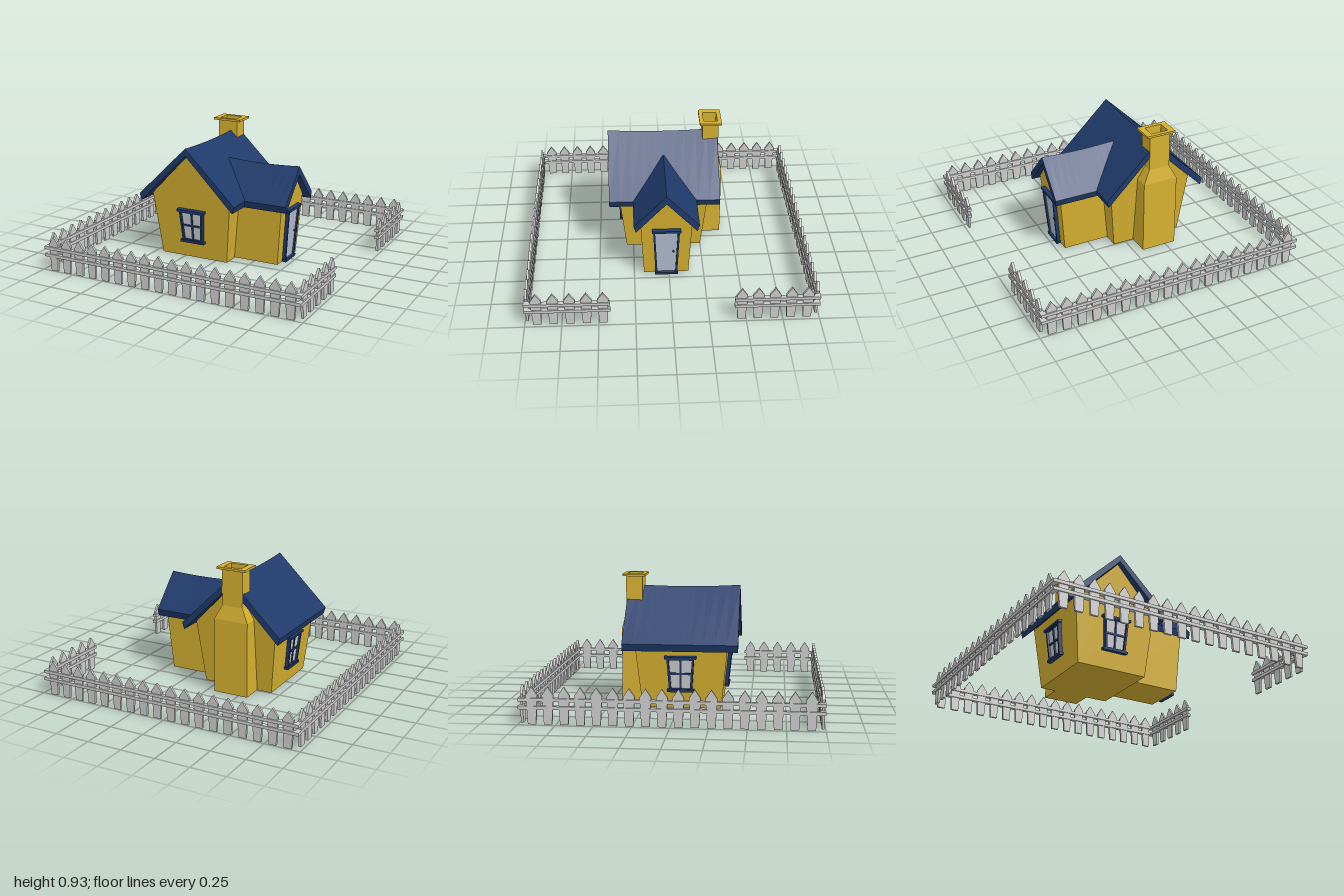
import * as THREE from 'three';

const mat = (color) => new THREE.MeshStandardMaterial({ color });
const yellow = mat(0xd4b030), navy = mat(0x1f3a6b), grey = mat(0xcccccc), pale = mat(0xb4bccf);

function add(parent, name, geo, material, x = 0, y = 0, z = 0) {
  const m = new THREE.Mesh(geo, material);
  m.name = name;
  m.position.set(x, y, z);
  parent.add(m);
  return m;
}

function poly(points) {
  return new THREE.Shape(points.map(([x, y]) => new THREE.Vector2(x, y)));
}

// Extrusion centred on z
function slab(shape, depth, steps = 1) {
  return new THREE.ExtrudeGeometry(shape, { depth, steps, bevelEnabled: false }).translate(0, 0, -depth / 2);
}

// Move every vertex by a rule
function warp(geo, rule) {
  const p = geo.attributes.position, v = new THREE.Vector3();
  for (let i = 0; i < p.count; i++) {
    rule(v.fromBufferAttribute(p, i));
    p.setXYZ(i, v.x, v.y, v.z);
  }
  geo.computeVertexNormals();
  return geo;
}

const box = (w, h, d) => new THREE.BoxGeometry(w, h, d);

// Gabled body whose walls lean outwards towards the top
function walls(base, top, eave, apex, depth, lean) {
  const shape = poly([[-base, 0], [base, 0], [top, eave], [0, apex], [-top, eave]]);
  return warp(slab(shape, depth), (v) => { v.z += Math.sign(v.z) * lean * v.y; });
}

// Gable roof with a sagging ridge
function roof(half, eave, apex, thick, depth, sag) {
  const shape = poly([[0, apex], [-half, eave], [-half + 0.015, eave - 0.05], [0, apex - thick],
    [half - 0.015, eave - 0.05], [half, eave]]);
  return warp(slab(shape, depth, 10), (v) => {
    const t = v.z / (depth / 2), k = Math.max(0, (v.y - eave) / (apex - eave));
    v.y -= sag * (1 - t * t) * k;
  });
}

// Trapezoid, wider at the top
const trapezoid = (b, t, y0, y1) => [[-b, y0], [b, y0], [t, y1], [-t, y1]];

function frame(b, t, y0, y1, rim, depth) {
  const s = poly(trapezoid(b, t, y0, y1));
  s.holes.push(poly(trapezoid(b - rim, t - rim, y0 + rim, y1 - rim).reverse()));
  return slab(s, depth);
}

function rectRing(w, d, iw, id, h) {
  const r = (a, b) => [[-a / 2, -b / 2], [a / 2, -b / 2], [a / 2, b / 2], [-a / 2, b / 2]];
  const s = poly(r(w, d));
  s.holes.push(poly(r(iw, id).reverse()));
  return slab(s, h).rotateX(-Math.PI / 2);
}

// Stand a group on a leaning wall
function onWall(g, name, x, y, z, turn, lean) {
  g.name = name;
  g.position.set(x, y, z);
  g.rotation.set(Math.atan(lean), turn, 0, 'YXZ');
  return g;
}

function makeWindow() {
  const g = new THREE.Group();
  add(g, 'panes', slab(poly(trapezoid(0.078, 0.09, -0.11, 0.11)), 0.012), grey, 0, 0, 0.004);
  add(g, 'windowFrame', frame(0.08, 0.096, -0.12, 0.115, 0.015, 0.035), navy, 0, 0, 0.008);
  add(g, 'mullion', box(0.014, 0.22, 0.024), navy, 0, 0, 0.006);
  add(g, 'crossBar', box(0.165, 0.014, 0.024), navy, 0, 0, 0.006);
  add(g, 'lintel', box(0.22, 0.017, 0.045), navy, 0, 0.117, 0.01);
  add(g, 'sill', box(0.19, 0.017, 0.045), navy, 0, -0.12, 0.01);
  return g;
}

function makeDoor() {
  const g = new THREE.Group();
  add(g, 'doorPanel', slab(poly(trapezoid(0.066, 0.08, 0.02, 0.39)), 0.014), pale, 0, 0, 0.004);
  add(g, 'doorFrame', frame(0.078, 0.094, 0.008, 0.4, 0.014, 0.036), navy, 0, 0, 0.006);
  add(g, 'doorLintel', box(0.205, 0.018, 0.045), navy, 0, 0.4, 0.008);
  add(g, 'doorStep', box(0.165, 0.018, 0.045), navy, 0, 0.017, 0.008);
  add(g, 'doorKnob', new THREE.SphereGeometry(0.008, 12, 8), navy, 0.05, 0.215, 0.017);
  return g;
}

function makeChimney() {
  const g = new THREE.Group();
  g.name = 'chimney';
  g.position.set(-0.193, 0, -0.3275);
  add(g, 'chimneyBase', box(0.26, 0.545, 0.165), yellow, 0, 0.2775, 0);
  const shoulder = warp(box(0.26, 0.1, 0.165), (v) => {
    if (v.y > 0) { v.x *= 0.6; v.z *= 0.7; }
  });
  add(g, 'chimneyShoulder', shoulder, yellow, 0, 0.6, 0);
  add(g, 'chimneyStack', rectRing(0.156, 0.116, 0.13, 0.1, 0.265), yellow, 0, 0.7825, 0);
  add(g, 'chimneyCap', rectRing(0.22, 0.16, 0.13, 0.1, 0.016), yellow, 0, 0.92, 0);
  return g;
}

// Picket fence run along local x, centred on the given range
function makeFence(name, from, to, first, count, step) {
  const g = new THREE.Group();
  g.name = name;
  const picket = slab(poly([[-0.027, 0], [0.027, 0], [0.038, 0.195], [0, 0.252], [-0.038, 0.195]]), 0.017);
  for (let i = 0; i < count; i++) add(g, 'picket', picket, grey, first + i * step, 0, 0);
  for (const y of [0.112, 0.165]) {
    add(g, 'rail', box(to - from, 0.022, 0.032), grey, (from + to) / 2, y, 0);
  }
  return g;
}

export function createModel() {
  const model = new THREE.Group();
  model.name = 'cottage';

  // Main house, ridge running front to back
  add(model, 'mainWalls', walls(0.265, 0.315, 0.465, 0.782, 0.55, 0.107), yellow, -0.17, 0.004, 0.025);
  add(model, 'mainRoof', roof(0.385, 0.47, 0.845, 0.053, 0.8, 0.013), navy, -0.17, 0, 0.02);

  // Entrance wing, ridge running sideways
  add(model, 'wingWalls', walls(0.16, 0.182, 0.45, 0.64, 0.44, 0.083), yellow, 0.22, 0.008, 0.02).rotation.y = Math.PI / 2;
  add(model, 'wingRoof', roof(0.23, 0.47, 0.71, 0.06, 0.56, 0.01), navy, 0.25, 0, 0.02).rotation.y = Math.PI / 2;

  model.add(makeChimney());
  model.add(onWall(makeWindow(), 'frontWindow', -0.165, 0.255, 0.328, 0, 0.107));
  model.add(onWall(makeWindow(), 'sideWindow', -0.463, 0.255, 0.02, -Math.PI / 2, 0.106));
  model.add(onWall(makeDoor(), 'door', 0.441, 0, 0.02, Math.PI / 2, 0.083));

  // Fences: front, back, closed side, and the entrance side with its gap
  for (const s of [1, -1]) {
    const long = makeFence(s > 0 ? 'frontFence' : 'backFence', -0.985, 0.985, -0.91, 18, 0.107);
    long.position.z = s * 0.984;
    model.add(long);
    const short = makeFence('entranceFence', 0.42, 0.985, 0.468, 5, 0.112);
    short.position.x = 0.968;
    short.rotation.y = -s * Math.PI / 2;
    model.add(short);
  }
  const side = makeFence('sideFence', -0.985, 0.985, -0.91, 18, 0.107);
  side.position.x = -0.968;
  side.rotation.y = Math.PI / 2;
  model.add(side);

  return model;
}
